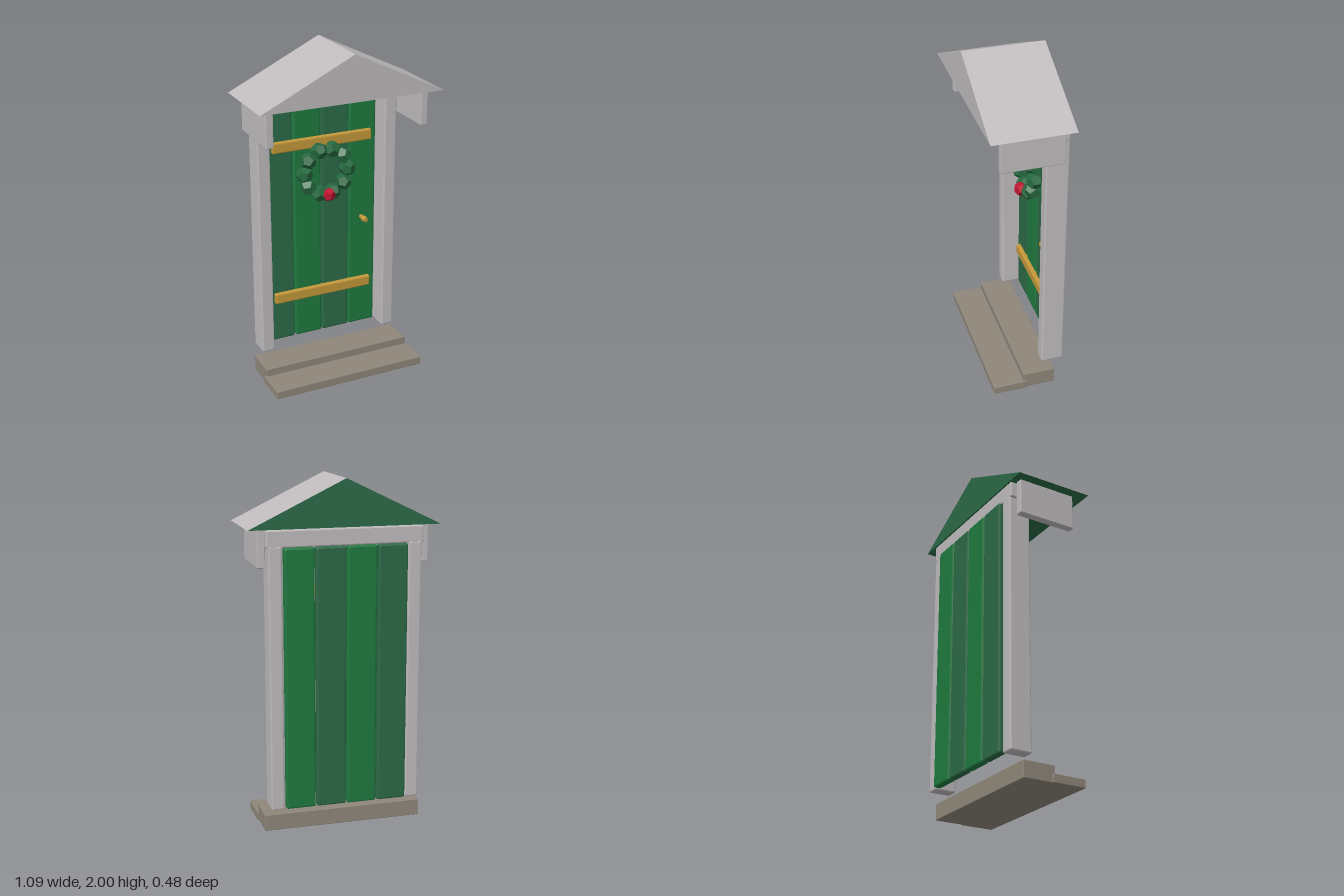
import * as THREE from 'three';
import { RoundedBoxGeometry } from 'three/addons/geometries/RoundedBoxGeometry.js';

const material = (name, color) => {
  const m = new THREE.MeshStandardMaterial({ color });
  m.name = name;
  return m;
};

export function createModel() {
  const model = new THREE.Group();
  model.name = 'doorway';

  const trim = material('pale grey trim', 0xc0bcbe);
  const brightGreen = material('bright green', 0x1f7a3f);
  const darkGreen = material('muted green', 0x2c6a47);
  const leafGreen = material('leaf green', 0x25693f);
  const brass = material('brass', 0xc4983a);
  const red = material('berry red', 0xc0142f);
  const stone = material('step stone', 0x8f877a);

  const add = (name, geometry, mat, parent = model) => {
    const mesh = new THREE.Mesh(geometry, mat);
    mesh.name = name;
    parent.add(mesh);
    return mesh;
  };

  // Box with chamfered edges, given by its limits on each axis
  const block = (name, mat, [x0, x1], [y0, y1], [z0, z1], bevel = 0.008) => {
    const g = new RoundedBoxGeometry(x1 - x0, y1 - y0, z1 - z0, 1, bevel);
    g.computeVertexNormals();
    g.translate((x0 + x1) / 2, (y0 + y1) / 2, (z0 + z1) / 2);
    return add(name, g, mat);
  };

  // Steps
  block('lowerStep', stone, [-0.473, 0.473], [0, 0.05], [0.008, 0.208], 0.004);
  block('upperStep', stone, [-0.463, 0.463], [0, 0.097], [-0.164, 0.025], 0.004);

  // Frame posts and eave brackets, mirrored
  for (const [side, s] of [['left', 1], ['right', -1]]) {
    const span = (a, b) => (s > 0 ? [a, b] : [-b, -a]);
    block(side + 'Post', trim, span(0.36, 0.436), [0.145, 1.645], [-0.224, -0.094]);
    block(side + 'Bracket', trim, span(0.444, 0.488), [1.523, 1.738], [-0.185, 0.17], 0.005);
  }
  block('header', trim, [-0.447, 0.447], [1.636, 1.733], [-0.222, -0.094]);

  // Door planks in alternating greens
  for (let i = 0; i < 4; i++) {
    const x = -0.267 + i * 0.178;
    block('plank' + (i + 1), i % 2 ? brightGreen : darkGreen,
      [x - 0.085, x + 0.085], [0.15, 1.637], [-0.242, -0.195], 0.01);
  }

  // Brass straps
  block('upperStrap', brass, [-0.314, 0.314], [1.355, 1.42], [-0.205, -0.17]);
  block('lowerStrap', brass, [-0.314, 0.314], [0.402, 0.467], [-0.205, -0.17]);

  // Door knob
  const knob = new THREE.Group();
  knob.name = 'knob';
  knob.position.set(0.26, 0.865, 0);
  model.add(knob);
  add('knobStem', new THREE.CylinderGeometry(0.013, 0.013, 0.06, 8)
    .rotateX(Math.PI / 2).translate(0, 0, -0.17), brass, knob);
  add('knobHead', new THREE.CylinderGeometry(0.014, 0.02, 0.025, 8)
    .rotateX(Math.PI / 2).translate(0, 0, -0.14), brass, knob);

  // Wreath: a ring of faceted leaf clusters and one berry
  const wreath = new THREE.Group();
  wreath.name = 'wreath';
  wreath.position.set(0, 1.219, -0.132);
  model.add(wreath);
  for (let i = 0; i < 10; i++) {
    const a = (i * Math.PI) / 5;
    const leaf = add('leafCluster', new THREE.DodecahedronGeometry(0.05), leafGreen, wreath);
    leaf.position.set(Math.cos(a) * 0.137, Math.sin(a) * 0.137, 0);
    leaf.rotation.z = a;
  }
  add('berry', new THREE.DodecahedronGeometry(0.041), red, wreath)
    .position.set(0, -0.132, 0.037);

  // Gabled roof from flat faces, corners counter-clockwise from outside
  const facets = (...faces) => {
    const p = [];
    for (const f of faces) {
      for (let i = 1; i < f.length - 1; i++) p.push(...f[0], ...f[i], ...f[i + 1]);
    }
    const g = new THREE.BufferGeometry();
    g.setAttribute('position', new THREE.Float32BufferAttribute(p, 3));
    g.computeVertexNormals();
    return g;
  };
  const section = (z) => [[-0.546, 1.736, z], [0.546, 1.736, z], [0, 2, z]];
  const [fr, fl, ft] = section(0.24);
  const [br, bl, bt] = section(-0.225);
  add('roofCover', facets([fr, fl, ft], [fl, bl, bt, ft], [fr, ft, bt, br]), trim);
  add('roofBackAndUnderside', facets([bl, br, bt], [fr, br, bl, fl]), darkGreen);

  return model;
}
